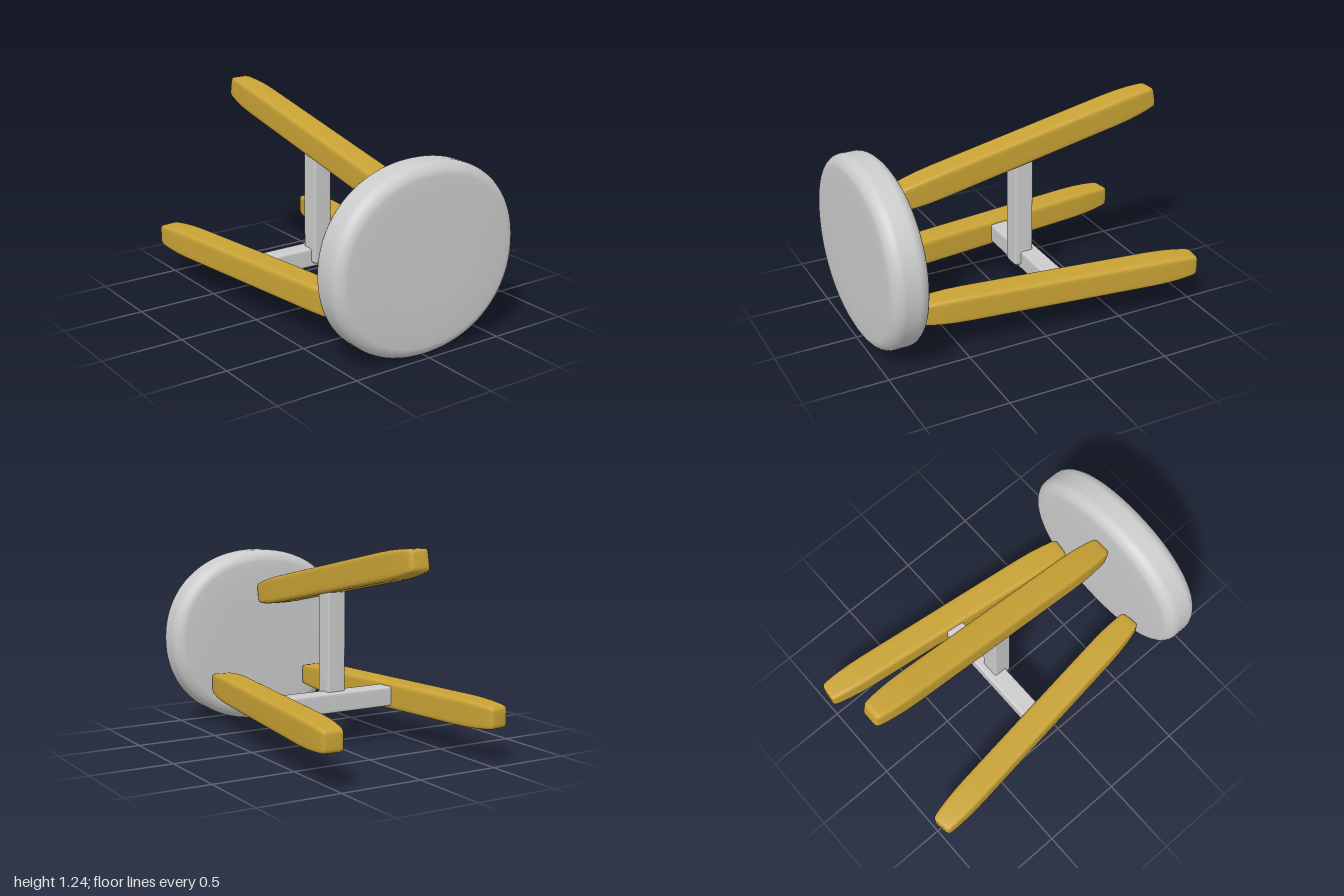
import * as THREE from 'three';

// Closed loft along z: stations are [z, halfWidth, halfHeight], each a superellipse of power n
function loft(stations, n, sides) {
  const pos = [], idx = [];
  const p = (v) => Math.sign(v) * Math.pow(Math.abs(v), 2 / n);
  for (const [z, w, h] of stations) {
    for (let i = 0; i < sides; i++) {
      const a = (i / sides) * Math.PI * 2;
      pos.push(w * p(Math.cos(a)), h * p(Math.sin(a)), z);
    }
  }
  for (let s = 0; s < stations.length - 1; s++) {
    for (let i = 0; i < sides; i++) {
      const j = (i + 1) % sides;
      const a = s * sides + i, b = s * sides + j;
      idx.push(a, b, b + sides, a, b + sides, a + sides);
    }
  }
  // end caps
  const last = (stations.length - 1) * sides;
  const c0 = pos.length / 3, c1 = c0 + 1;
  pos.push(0, 0, stations[0][0], 0, 0, stations[stations.length - 1][0]);
  for (let i = 0; i < sides; i++) {
    const j = (i + 1) % sides;
    idx.push(c0, j, i, c1, last + i, last + j);
  }
  const g = new THREE.BufferGeometry();
  g.setAttribute('position', new THREE.Float32BufferAttribute(pos, 3));
  g.setIndex(idx);
  g.computeVertexNormals();
  return g;
}

// Mirrors one end's [distance from end, w, h] list to both ends of a bar
function barStations(length, end) {
  const back = end.map(([d, w, h]) => [-length / 2 + d, w, h]);
  const front = end.map(([d, w, h]) => [length / 2 - d, w, h]).reverse();
  return [...back, ...front];
}

export function createModel() {
  const group = new THREE.Group();
  const grey = new THREE.MeshStandardMaterial({ color: 0xcccccc });
  const gold = new THREE.MeshStandardMaterial({ color: 0xc8a235 });

  const add = (name, geometry, material, x, y, z) => {
    const mesh = new THREE.Mesh(geometry, material);
    mesh.name = name;
    mesh.position.set(x, y, z);
    group.add(mesh);
    return mesh;
  };

  // Seat: thick oval cushion with a softly rounded rim
  const rim = [[0, 0.3], [0, 0.17], [0.004, 0.115]];
  for (let i = 1; i <= 8; i++) {
    const a = (i / 8) * Math.PI / 2;
    rim.push([0.004 + 0.076 * (1 - Math.cos(a)), 0.085 * (1 - Math.sin(a))]);
  }
  const seatEnd = rim.map(([d, inset]) => [d, 0.625 - inset, 0.555 - inset]);
  add('seat', loft(barStations(0.24, seatEnd), 2.12, 96), grey, 0, 0.56, 0.88);

  // Legs: rounded square bars, gently tapered at both ends
  const legEnd = [
    [0, 0.04, 0.04], [0.003, 0.052, 0.052], [0.012, 0.061, 0.061], [0.03, 0.066, 0.066],
    [0.06, 0.07, 0.07], [0.12, 0.076, 0.076], [0.2, 0.081, 0.081], [0.3, 0.083, 0.083],
  ];
  const legGeometry = loft(barStations(1.76, legEnd), 7, 48);
  for (const side of [-1, 1]) {
    const leg = add(side > 0 ? 'leftLeg' : 'rightLeg', legGeometry, gold, side * 0.435, 0.282, -0.12);
    leg.rotation.y = -side * 0.124;
  }
  const upperLeg = add('upperLeg', legGeometry, gold, 0, 1.015, -0.115);
  upperLeg.rotation.x = 0.2;

  // Braces: one across the lower legs, one rising to the upper leg
  const braceEnd = [[0, 0.045, 0.045], [0.006, 0.055, 0.055], [0.02, 0.06, 0.06]];
  const cross = add('crossBrace', loft(barStations(0.8, braceEnd), 10, 48), grey, 0, 0.282, -0.12);
  cross.rotation.y = Math.PI / 2;
  const upright = add('uprightBrace', loft(barStations(0.74, braceEnd), 10, 48), grey, 0, 0.62, -0.08);
  upright.rotation.x = Math.PI / 2;

  return group;
}
